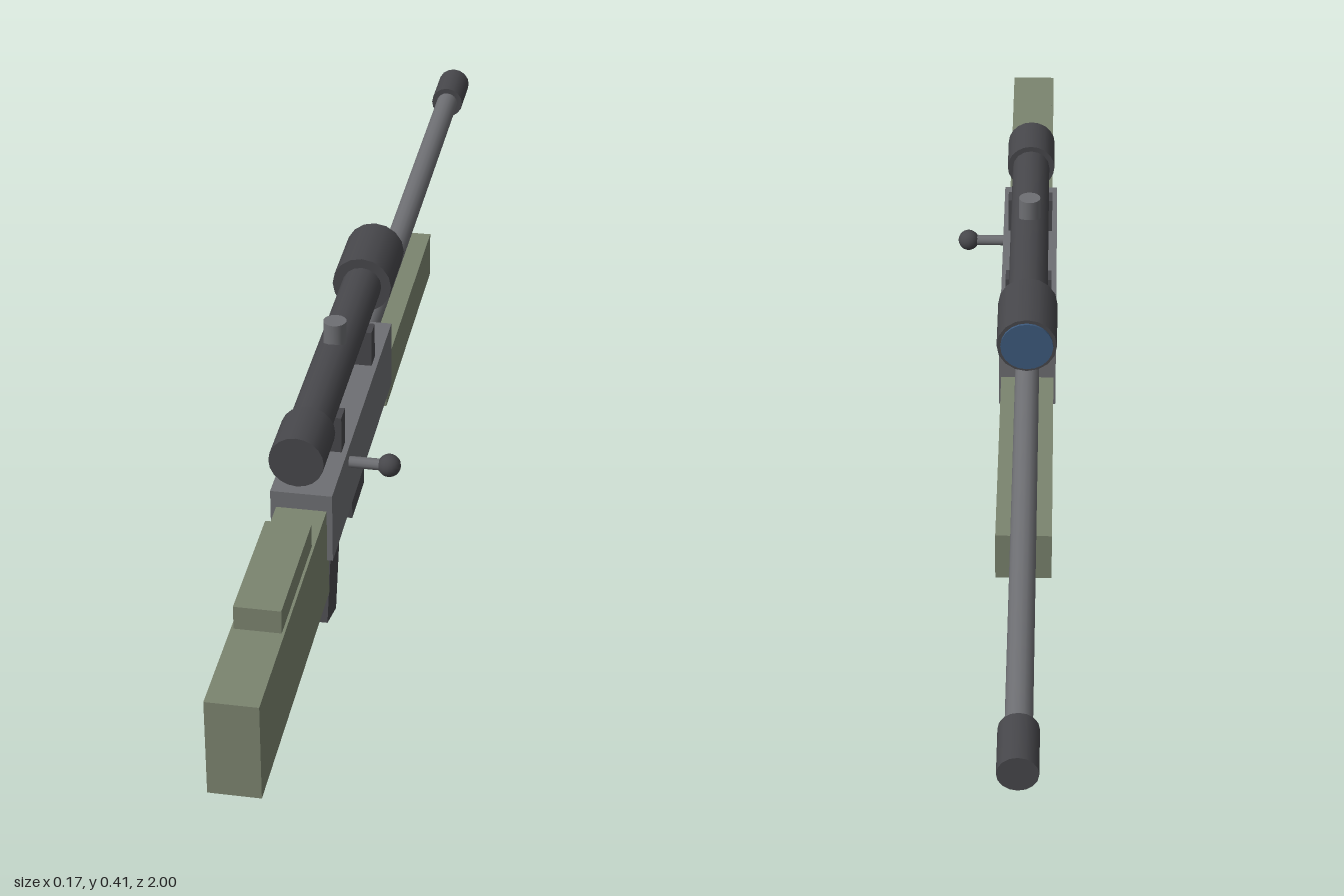
import * as THREE from 'three';

const mat = (color) => new THREE.MeshStandardMaterial({ color });

export function createModel() {
  const rifle = new THREE.Group();
  rifle.name = 'rifle';
  const green = mat(0x7b846f), steel = mat(0x6e6f73), dark = mat(0x47474b), glass = mat(0x3d5a7d);
  const CX = -0.039; // centre line of the rifle body
  const BORE = 0.247, SIGHT = 0.349; // heights of the barrel and scope axes

  const add = (name, geometry, material, x, y, z) => {
    const mesh = new THREE.Mesh(geometry, material);
    mesh.name = name;
    mesh.position.set(x, y, z);
    rifle.add(mesh);
    return mesh;
  };
  // Box on the centre line, given by its width and its y and z ranges
  const block = (name, material, w, y0, y1, z0, z1) =>
    add(name, new THREE.BoxGeometry(w, y1 - y0, z1 - z0), material, CX, (y0 + y1) / 2, (z0 + z1) / 2);
  // Cylinder along z on the centre line
  const tube = (name, material, r, y, z0, z1, sides = 16) =>
    add(name, new THREE.CylinderGeometry(r, r, z1 - z0, sides).rotateX(Math.PI / 2), material, CX, y, (z0 + z1) / 2);

  // Stock and body
  block('stock', green, 0.076, 0.094, 0.248, 0.511, 1.0);
  block('cheekRest', green, 0.068, 0.235, 0.285, 0.617, 0.832);
  block('foreEnd', green, 0.086, 0.134, 0.214, -0.43, 0.032);
  block('receiver', steel, 0.093, 0.161, 0.275, 0.003, 0.524);
  block('magazine', dark, 0.058, 0.068, 0.18, 0.163, 0.27);

  // Grip leaning back towards the butt
  const grip = add('grip', new THREE.BoxGeometry(0.061, 0.17, 0.073), dark, CX, 0.092, 0.431);
  grip.rotation.x = -0.3;

  // Barrel
  tube('barrel', steel, 0.0195, BORE, -0.95, 0.02);
  tube('muzzle', dark, 0.029, BORE, -1.0, -0.909);

  // Scope
  tube('scopeTube', dark, 0.032, SIGHT, -0.05, 0.5);
  tube('eyepiece', dark, 0.041, SIGHT, 0.465, 0.555, 20);
  tube('objective', dark, 0.048, SIGHT, -0.11, 0.016);
  tube('lens', glass, 0.042, SIGHT, -0.114, -0.1, 20);
  for (const z of [0.127, 0.387]) block('scopeMount', dark, 0.076, 0.27, 0.335, z - 0.015, z + 0.015);
  add('turret', new THREE.CylinderGeometry(0.018, 0.018, 0.064, 16), steel, CX, 0.381, 0.247);

  // Bolt handle
  add('boltHandle', new THREE.CylinderGeometry(0.009, 0.009, 0.08, 12).rotateZ(Math.PI / 2), steel, 0.029, 0.248, 0.384);
  add('boltKnob', new THREE.SphereGeometry(0.0178, 16, 12), dark, 0.069, 0.248, 0.384);

  return rifle;
}
